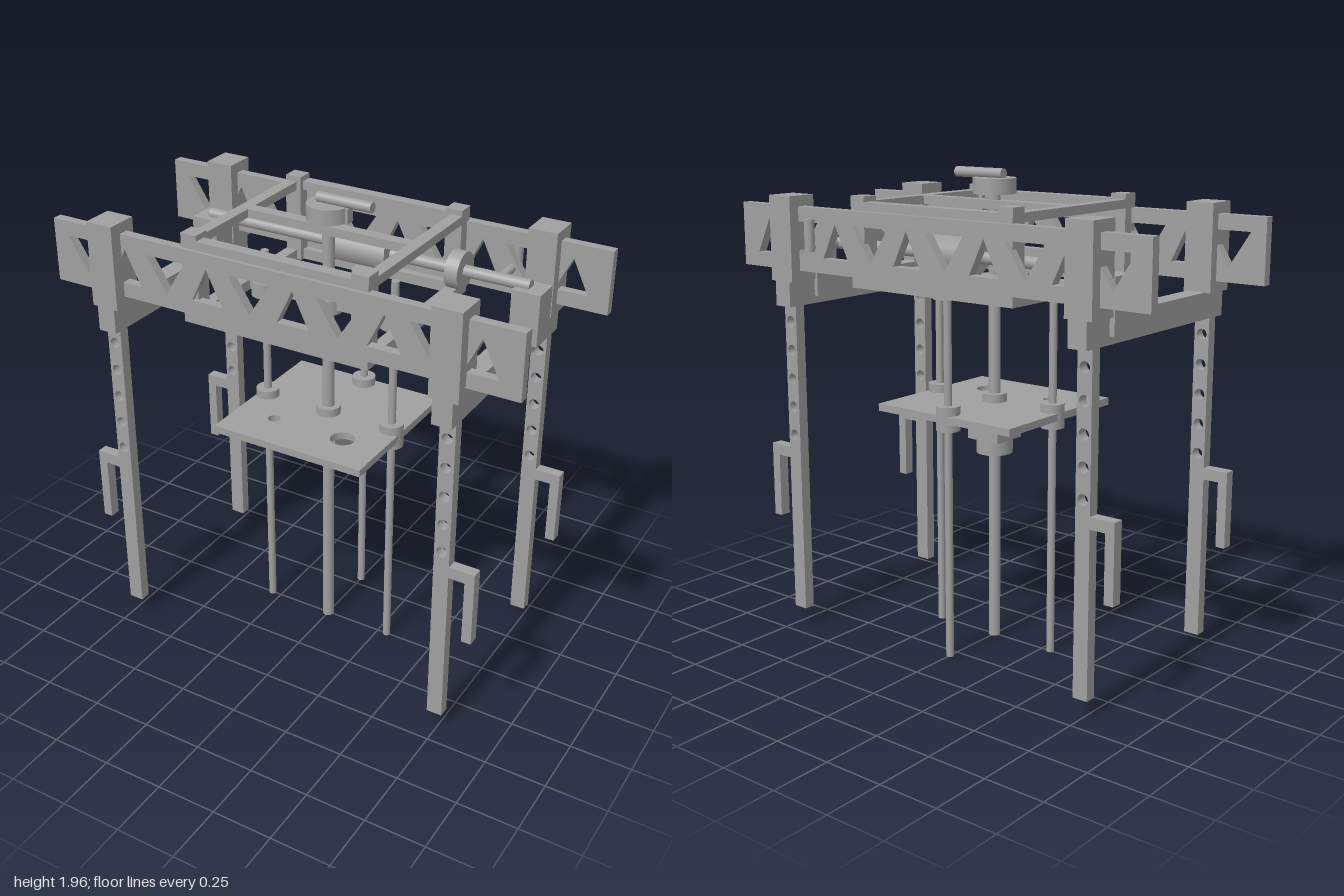
import * as THREE from 'three';

export function createModel() {
  const model = new THREE.Group();
  model.name = 'gantryFrame';
  const steel = new THREE.MeshStandardMaterial({ color: 0xa0a0a0 });
  steel.name = 'steelGrey';

  const add = (name, geometry) => {
    const mesh = new THREE.Mesh(geometry, steel);
    mesh.name = name;
    model.add(mesh);
    return mesh;
  };
  // Box from its limits on each axis
  const box = (name, x0, x1, y0, y1, z0, z1) =>
    add(name, new THREE.BoxGeometry(x1 - x0, y1 - y0, z1 - z0))
      .position.set((x0 + x1) / 2, (y0 + y1) / 2, (z0 + z1) / 2);
  // Upright cylinder from y0 to y1
  const post = (name, x, z, r, y0, y1, sides = 32) =>
    add(name, new THREE.CylinderGeometry(r, r, y1 - y0, sides)).position.set(x, (y0 + y1) / 2, z);
  // Cylinder along x
  const bar = (name, x0, x1, y, z, r) => {
    const m = add(name, new THREE.CylinderGeometry(r, r, x1 - x0, 32));
    m.rotation.z = Math.PI / 2;
    m.position.set((x0 + x1) / 2, y, z);
  };
  const polygon = (Type, pts) => new Type(pts.map(([x, y]) => new THREE.Vector2(x, y)));
  const rectangle = (x0, x1, y0, y1) =>
    polygon(THREE.Shape, [[x0, y0], [x1, y0], [x1, y1], [x0, y1]]);
  const roundHole = (x, y, r) => {
    const hole = new THREE.Path();
    hole.absarc(x, y, r, 0, Math.PI * 2, true);
    return hole;
  };
  const extrude = (shape, depth) =>
    new THREE.ExtrudeGeometry(shape, { depth, bevelEnabled: false, curveSegments: 16 });

  // Truss rails with alternating triangular openings
  const rail = rectangle(-1, 1, 1.54, 1.8);
  for (let i = 0; i < 10; i++) {
    const x = -0.845 + i * 0.188;
    rail.holes.push(polygon(THREE.Path, i % 2
      ? [[x - 0.068, 1.6], [x, 1.74], [x + 0.068, 1.6]]
      : [[x - 0.09, 1.74], [x + 0.09, 1.74], [x, 1.6]]));
  }
  const railGeometry = extrude(rail, 0.04);
  add('frontTrussRail', railGeometry).position.z = 0.375;
  add('backTrussRail', railGeometry).position.z = -0.42;

  // Perforated legs, each with a hooked side bracket
  const leg = rectangle(-0.032, 0.032, 0.07, 1.42);
  for (let i = 0; i < 5; i++) leg.holes.push(roundHole(0, 0.842 + i * 0.121, 0.022));
  const legGeometry = extrude(leg, 0.046);

  for (const s of [-1, 1]) {
    const sideBox = (name, a, b, ...rest) =>
      box(name, Math.min(a * s, b * s), Math.max(a * s, b * s), ...rest);
    for (const z of [-0.4, 0.4]) {
      add('leg', legGeometry).position.set(0.737 * s, 0, z - 0.023);
      sideBox('bracketArm', 0.769, 0.875, 0.738, 0.785, z - 0.023, z + 0.023);
      sideBox('bracketHook', 0.835, 0.875, 0.468, 0.738, z - 0.023, z + 0.023);
      sideBox('railSleeve', 0.675, 0.793, 1.497, 1.843, z - 0.066, z + 0.066);
    }
    sideBox('sideBeam', 0.692, 0.772, 1.394, 1.5, -0.466, 0.466);
    sideBox('shaftSupport', 0.675, 0.793, 1.425, 1.638, -0.325, -0.21);

    // Carriage sides and corners
    for (const [y0, y1] of [[1.8, 1.835], [1.495, 1.538]]) {
      sideBox('carriageSideBar', 0.35, 0.4, y0, y1, -0.4, 0.4);
      box('carriageCrossBar', -0.4, 0.4, y0, y1, s < 0 ? -0.4 : 0.35, s < 0 ? -0.35 : 0.4);
    }
    for (const z of [-0.365, 0.365])
      sideBox('carriageCorner', 0.33, 0.4, 1.495, 1.857, z - 0.035, z + 0.035);
  }

  // Middle bars of the carriage
  box('upperMiddleBar', -0.36, 0.36, 1.8, 1.835, -0.025, 0.025);
  box('lowerMiddleBar', -0.36, 0.36, 1.497, 1.536, -0.025, 0.025);

  // Lifting platform with two openings
  const plate = rectangle(-0.335, 0.335, -0.333, 0.333);
  plate.holes.push(roundHole(-0.16, -0.16, 0.026), roundHole(0.16, -0.16, 0.05));
  const platform = add('platform', extrude(plate, 0.03));
  platform.rotation.x = -Math.PI / 2;
  platform.position.y = 0.99;

  // Guide rods with bosses and bushings
  for (const [x, z] of [[-0.293, 0], [0.293, 0], [0, -0.293]]) {
    post('guideRod', x, z, 0.016, 0, z ? 1.54 : 1.668);
    post('rodBoss', x, z, 0.057, 1.478, 1.54);
    post('rodBushing', x, z, 0.048, 0.955, 1.055);
  }

  // Lead screw, nut and top crank
  post('leadScrew', 0, 0, 0.024, 0, 1.88);
  post('screwBoss', 0, 0, 0.057, 1.478, 1.54);
  post('screwCollar', 0, 0, 0.05, 0.99, 1.055);
  box('screwNutBlock', -0.078, 0.078, 0.865, 0.99, -0.078, 0.078);
  post('screwNutFlange', 0, 0, 0.075, 0.805, 0.865);
  post('crankKnob', 0, 0, 0.086, 1.86, 1.922);
  box('crankLug', 0.05, 0.095, 1.86, 1.92, -0.02, 0.02);
  bar('crankHandle', -0.045, 0.19, 1.938, 0, 0.021);

  // Cross shaft with hexagonal coupling, wheel and hand crank
  bar('crossShaft', -0.735, 0.73, 1.645, -0.267, 0.024);
  const hex = add('hexCoupling', new THREE.CylinderGeometry(0.077, 0.077, 0.265, 6));
  hex.rotation.set(0, 0, Math.PI / 2);
  hex.geometry.rotateY(Math.PI / 2);
  hex.position.set(0, 1.645, -0.267);
  bar('shaftWheel', 0.4, 0.455, 1.645, -0.267, 0.076);
  const arm = add('shaftCrankArm', new THREE.CylinderGeometry(0.018, 0.018, 0.168, 24));
  arm.rotation.x = Math.PI / 2;
  arm.position.set(0.598, 1.645, -0.351);
  post('shaftCrankHandle', 0.598, -0.436, 0.021, 1.625, 1.755);

  return model;
}
